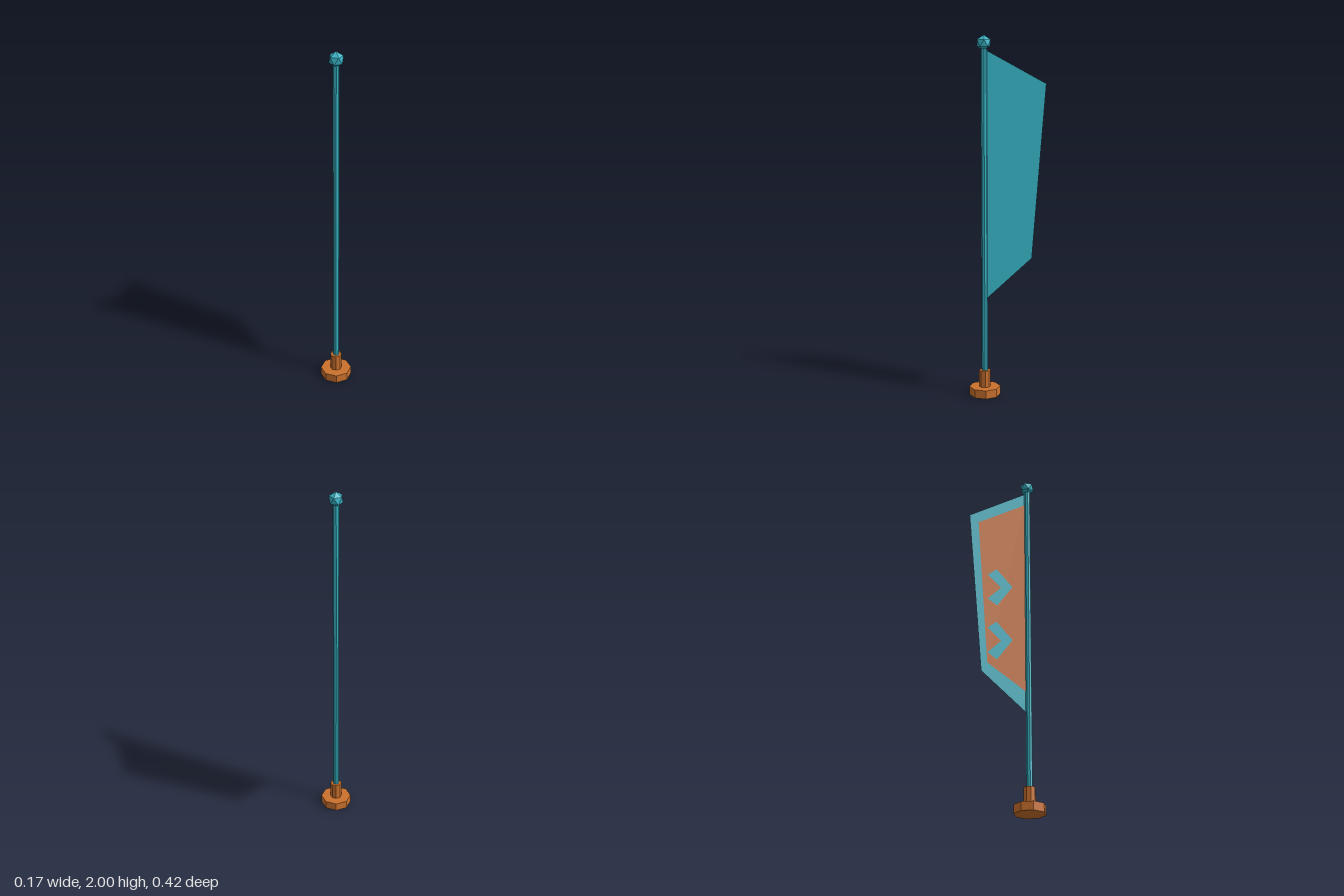
import * as THREE from 'three';

const teal = new THREE.MeshStandardMaterial({ color: 0x38b6c8 });
teal.name = 'teal';
const orange = new THREE.MeshStandardMaterial({ color: 0xcb712d });
orange.name = 'orange';
const cloth = new THREE.MeshStandardMaterial({ color: 0x38b6c8, side: THREE.DoubleSide });
cloth.name = 'teal cloth';

const POLE_Z = 0.127;

export function createModel() {
  const model = new THREE.Group();
  model.name = 'bannerPole';

  function add(name, geometry, material) {
    const mesh = new THREE.Mesh(geometry, material);
    mesh.name = name;
    model.add(mesh);
    return mesh;
  }

  // Faceted eight-sided post between two heights
  function post(name, radius, bottom, top, material) {
    const geometry = new THREE.CylinderGeometry(radius, radius, top - bottom, 8).toNonIndexed();
    geometry.computeVertexNormals();
    add(name, geometry, material).position.set(0, (bottom + top) / 2, POLE_Z);
  }

  // Flat panel from [z, y] corners, facing -x
  function panel(name, corners, x, material) {
    const shape = new THREE.Shape(corners.map(([z, y]) => new THREE.Vector2(z, y)));
    const geometry = new THREE.ShapeGeometry(shape).rotateY(-Math.PI / 2);
    add(name, geometry, material).position.x = x;
  }

  // Stand and pole
  post('base', 0.0865, 0, 0.048, orange);
  post('collar', 0.032, 0.048, 0.143, orange);
  post('pole', 0.0175, 0.143, 1.94, teal);

  // Finial with a corner pointing up
  const ball = new THREE.IcosahedronGeometry(0.042, 0);
  ball.rotateX(-Math.atan((1 + Math.sqrt(5)) / 2)).rotateY(Math.PI / 2);
  add('finial', ball, teal).position.set(0, 1.958, POLE_Z);

  // Banner cloth with an inset panel on its -x side
  panel('banner', [[0.115, 1.92], [-0.21, 1.74], [-0.135, 0.78], [0.115, 0.555]], 0, cloth);
  panel('bannerPanel', [[0.115, 1.845], [-0.158, 1.697], [-0.102, 0.83], [0.115, 0.675]], -0.002, orange);

  // Two chevrons pointing at the pole
  for (const y of [1.29, 0.964]) {
    const half = [[-0.052, 0.113], [0.038, 0.01], [-0.049, -0.113], [-0.102, -0.075], [-0.027, 0], [-0.102, 0.075]];
    panel('chevron', half.map(([z, dy]) => [z, y + dy]), -0.004, teal);
  }

  return model;
}
